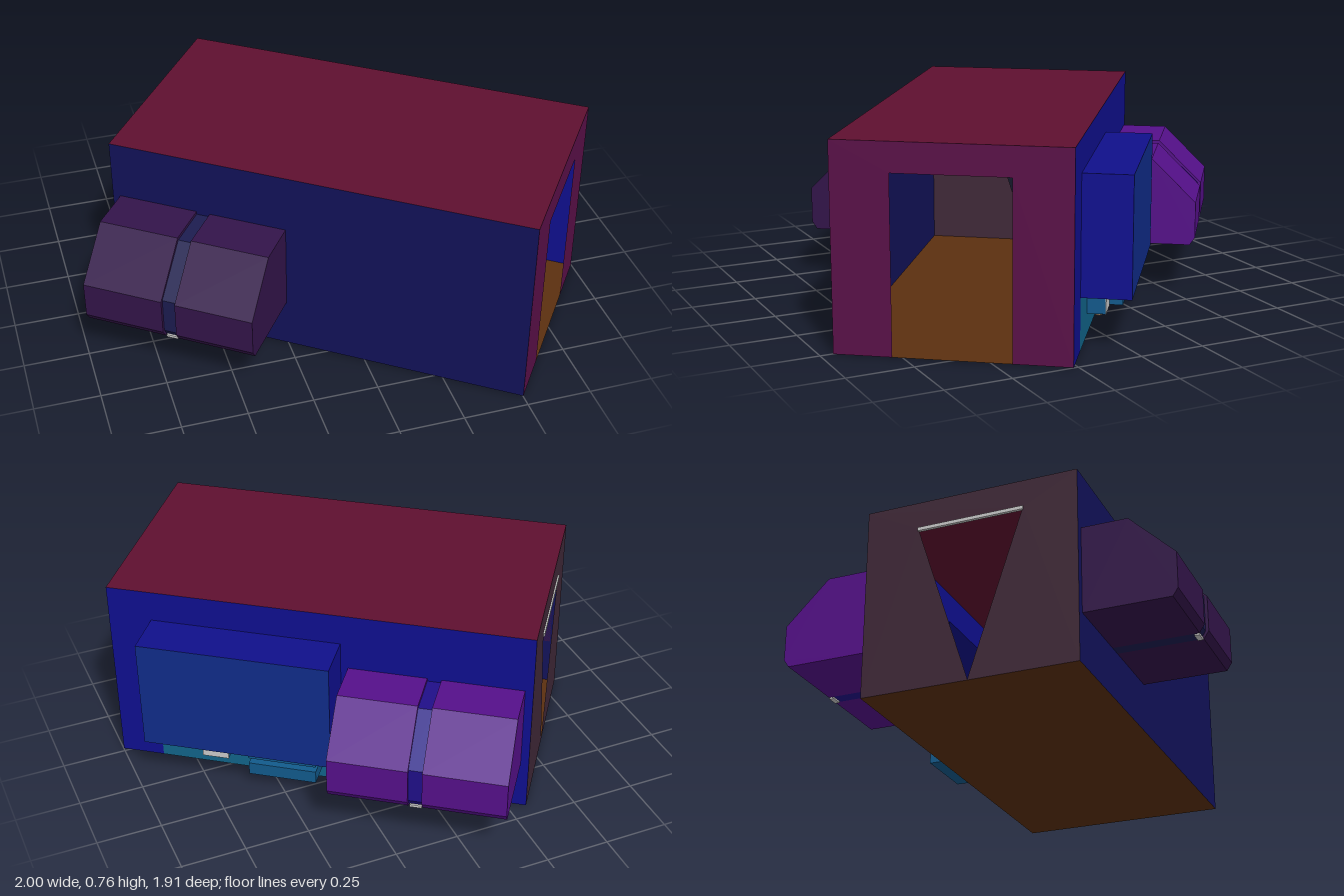
import * as THREE from 'three';

const L = 0.816, W = 0.423, H = 0.765;        // half length, half width, height of the body
const SX0 = -0.09, SX1 = 0.647, SY0 = 0.197, SY1 = 0.642, SD = 0.18; // slide-out bay

const mat = (color) => new THREE.MeshStandardMaterial({ color, flatShading: true, side: THREE.DoubleSide });

function add(parent, name, geometry, color, x = 0, y = 0, z = 0) {
  const m = new THREE.Mesh(geometry, mat(color));
  m.name = name;
  m.position.set(x, y, z);
  parent.add(m);
  return m;
}

const poly = (...pts) => new THREE.Shape(pts.map(([x, y]) => new THREE.Vector2(x, y)));
const rect = (x0, y0, x1, y1) => poly([x0, y0], [x1, y0], [x1, y1], [x0, y1]);

// Box without its inner (+z) face
function openBox(w, h, d) {
  const g = new THREE.BoxGeometry(w, h, d);
  const i = Array.from(g.index.array);
  i.splice(24, 6);
  g.setIndex(i);
  g.clearGroups();
  return g;
}

// Flat sheet with holes, standing in the xy plane
function sheet(outline, holes = []) {
  outline.holes.push(...holes);
  return new THREE.ShapeGeometry(outline);
}

function buildBody(g) {
  const flat = () => new THREE.PlaneGeometry(2 * L, 2 * W).rotateX(-Math.PI / 2);
  add(g, 'roof', flat(), 0x5f1030, 0, H, 0);
  add(g, 'floor', flat(), 0x5c3010, 0, 0, 0);
  add(g, 'leftWall', sheet(rect(-L, 0, L, H)), 0x12125a, 0, 0, W);
  // Right wall wraps around the bay opening
  add(g, 'rightWall', sheet(poly([-L, 0], [SX0, 0], [SX0, SY1], [SX1, SY1], [SX1, 0], [L, 0], [L, H], [-L, H])),
    0x0f0f90, 0, 0, -W);
  // Entrance end: rectangular doorway open to the floor
  const d = W / 2;
  add(g, 'entranceWall', sheet(poly([-W, 0], [-d, 0], [-d, 0.655], [d, 0.655], [d, 0], [W, 0], [W, H], [-W, H]))
    .rotateY(Math.PI / 2), 0x5a1048, L, 0, 0);
  // Rear end: triangular opening with a thin rail along its top edge
  add(g, 'rearWall', sheet(rect(-W, 0, W, H), [poly([0, 0.004], [-d, 0.655], [d, 0.655])])
    .rotateY(Math.PI / 2), 0x402838, -L, 0, 0);
  add(g, 'rearRail', new THREE.BoxGeometry(0.012, 0.014, 2 * d), 0xcccccc, -L, 0.65, 0);
}

function buildSlideOut(g) {
  const s = new THREE.Group();
  s.name = 'slideOut';
  const w = SX1 - SX0, h = SY1 - SY0, cx = (SX0 + SX1) / 2, cy = (SY0 + SY1) / 2, cz = -W - SD / 2;
  const cap = () => new THREE.PlaneGeometry(w, SD).rotateX(-Math.PI / 2);
  add(s, 'bayTop', cap(), 0x10108a, cx, SY1, cz);
  add(s, 'bayBottom', cap(), 0x0e5a58, cx, SY0, cz);
  add(s, 'bayOuterWall', new THREE.PlaneGeometry(w, h).rotateY(Math.PI), 0x102c8a, cx, cy, -W - SD);
  for (const x of [SX0, SX1])
    add(s, 'bayEnd', new THREE.PlaneGeometry(SD, h).rotateY(Math.PI / 2), 0x0f0f90, x, cy, cz);

  // Lower panel with recessed compartments: x0, y0, x1, y1, depth
  const cubbies = [[0.35, 0.08, 0.455, 0.19, 0.066], [-0.012, 0.055, 0.255, 0.107, 0.11], [-0.012, 0.13, 0.255, 0.182, 0.11]];
  add(s, 'lowerPanel', sheet(rect(SX0, 0, SX1, SY0), cubbies.map(([a, b, c, e]) => rect(a, b, c, e))),
    0x11648a, 0, 0, -W);
  for (const [x0, y0, x1, y1, depth] of cubbies)
    add(s, 'compartment', openBox(x1 - x0, y1 - y0, depth), 0x125a8c, (x0 + x1) / 2, (y0 + y1) / 2, -W - depth / 2);
  add(s, 'compartmentDoor', new THREE.BoxGeometry(0.105, 0.11, 0.004), 0xcccccc, 0.4025, 0.135, -W - 0.067);
  add(s, 'drain', new THREE.CylinderGeometry(0.013, 0.013, 0.02, 8), 0x8a7058, 0.4, 0.071, -W - 0.035);
  g.add(s);
}

// Tent pod on one side: side = 1 left, -1 right
function buildPod(g, side, tentColor, bandColor) {
  const p = new THREE.Group();
  p.name = side > 0 ? 'leftTentPod' : 'rightTentPod';
  const section = (name, x0, x1, inset, color) => {
    const o = 0.773 - inset, t = 0.537 - inset;
    const outline = poly([W, 0.197], [o - 0.02, 0.197], [o, 0.227], [o, 0.367], [0.6 - inset * 0.4, t], [W, t]);
    const geo = new THREE.ExtrudeGeometry(outline, { depth: x1 - x0, bevelEnabled: false });
    geo.rotateY(-side * Math.PI / 2);
    add(p, name, geo, color, side > 0 ? x1 : x0, 0, 0);
  };
  section('tent', -0.785, -0.473, 0, tentColor);
  section('band', -0.473, -0.42, 0.012, bandColor);
  section('tent', -0.42, -0.118, 0, tentColor);
  add(p, 'latch', new THREE.BoxGeometry(0.045, 0.01, 0.02), 0xcccccc, -0.447, 0.196, side * 0.742);
  g.add(p);
}

export function createModel() {
  const root = new THREE.Group();
  root.name = 'camper';
  const body = new THREE.Group();
  body.name = 'body';
  body.position.set(0.09, 0, 0.13);
  body.rotation.y = -Math.PI / 5;
  root.add(body);
  buildBody(body);
  buildSlideOut(body);
  buildPod(body, 1, 0x33144a, 0x1c1c50);
  buildPod(body, -1, 0x55108a, 0x200f88);
  return root;
}
